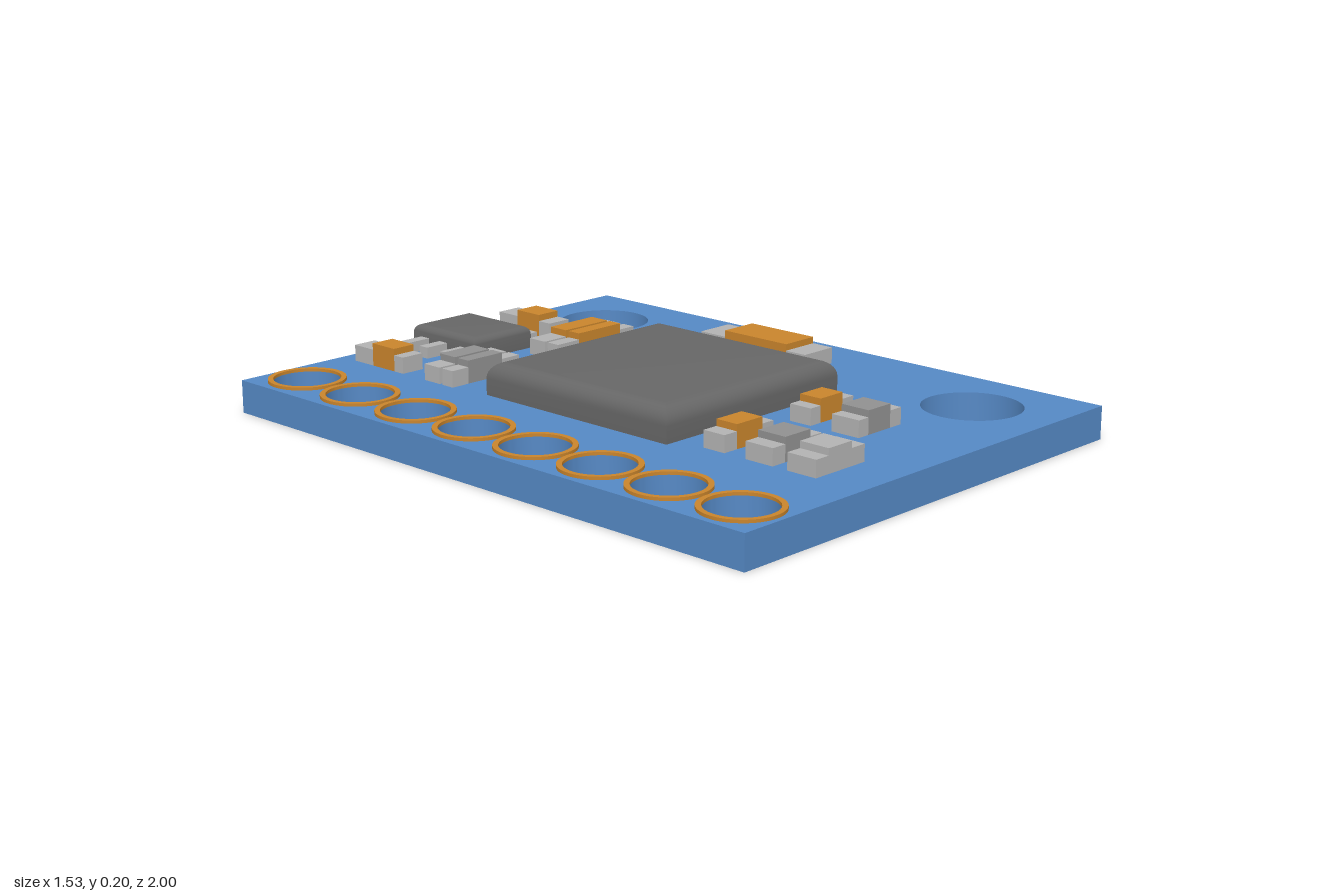
import * as THREE from 'three';
import { toCreasedNormals } from 'three/addons/utils/BufferGeometryUtils.js';

const TOP = 0.1; // upper face of the board
const material = (color) => new THREE.MeshStandardMaterial({ color });
const blue = material(0x5588c4);
const copper = material(0xc8842c);
const metal = material(0xb2b2b2);
const resistorGrey = material(0x909090);
const chipGrey = material(0x666666);

function add(parent, name, geometry, mat) {
  const mesh = new THREE.Mesh(geometry, mat);
  mesh.name = name;
  parent.add(mesh);
  return mesh;
}

// Box given by its limits
function box(parent, name, mat, x0, x1, y0, y1, z0, z1) {
  const mesh = add(parent, name, new THREE.BoxGeometry(x1 - x0, y1 - y0, z1 - z0), mat);
  mesh.position.set((x0 + x1) / 2, (y0 + y1) / 2, (z0 + z1) / 2);
}

function circlePath(x, z, r) {
  return new THREE.Path().absarc(x, -z, r, 0, Math.PI * 2, true);
}

// Flat outline in x/z extruded upwards
function slab(shape, height) {
  const g = new THREE.ExtrudeGeometry(shape, { depth: height, bevelEnabled: false, curveSegments: 32 });
  g.rotateX(-Math.PI / 2);
  return toCreasedNormals(g, 0.6);
}

// Chip package: rectangular loops drawn in along a quarter arc, giving mitred rounded top edges
function chipBody(w, h, d, r, steps = 8) {
  const loops = [[0, 0]];
  for (let i = 0; i <= steps; i++) {
    const a = (i / steps) * Math.PI / 2;
    loops.push([r * (1 - Math.cos(a)), h - r + r * Math.sin(a)]);
  }
  const positions = [];
  const index = [];
  for (const [inset, y] of loops) {
    const x = w / 2 - inset, z = d / 2 - inset;
    positions.push(-x, y, z, x, y, z, x, y, -z, -x, y, -z);
  }
  for (let l = 0; l < loops.length - 1; l++) {
    for (let k = 0; k < 4; k++) {
      const a = l * 4 + k, b = l * 4 + (k + 1) % 4;
      index.push(a, b, b + 4, a, b + 4, a + 4);
    }
  }
  const t = (loops.length - 1) * 4;
  index.push(t, t + 1, t + 2, t, t + 2, t + 3, 0, 2, 1, 0, 3, 2);
  const g = new THREE.BufferGeometry();
  g.setAttribute('position', new THREE.Float32BufferAttribute(positions, 3));
  g.setIndex(index);
  return toCreasedNormals(g, 0.4);
}

// Surface-mount part: two metal end caps and a taller middle, lying along x or z
function component(parent, name, mat, axis, ends, middle, width) {
  const group = new THREE.Group();
  group.name = name;
  const part = (label, m, a, b, height) => axis === 'x'
    ? box(group, label, m, a, b, TOP, TOP + height, width[0], width[1])
    : box(group, label, m, width[0], width[1], TOP, TOP + height, a, b);
  part('endCap', metal, ends[0], middle[0], 0.05);
  part('componentBody', mat, middle[0], middle[1], 0.07);
  part('endCap', metal, middle[1], ends[1], 0.05);
  parent.add(group);
}

export function createModel() {
  const model = new THREE.Group();
  model.name = 'circuitBoardModule';

  // Board with pin holes and two mounting holes
  const pinX = -0.63, pinRadius = 0.1;
  const pinZ = Array.from({ length: 8 }, (_, i) => -0.86 + i * 0.247);
  const outline = new THREE.Shape();
  outline.moveTo(-0.765, -1).lineTo(0.765, -1).lineTo(0.765, 1).lineTo(-0.765, 1).closePath();
  for (const z of pinZ) outline.holes.push(circlePath(pinX, z, pinRadius));
  outline.holes.push(circlePath(0.505, -0.75, 0.143), circlePath(0.505, 0.735, 0.148));
  add(model, 'board', slab(outline, TOP), blue);

  // Copper rings round the pin holes
  const ring = new THREE.Shape().absarc(0, 0, 0.116, 0, Math.PI * 2, false);
  ring.holes.push(circlePath(0, 0, pinRadius));
  const ringGeometry = slab(ring, 0.009);
  for (const z of pinZ) add(model, 'pinRing', ringGeometry, copper).position.set(pinX, TOP, z);

  // Main chip
  add(model, 'mainChip', chipBody(0.72, 0.1, 0.72, 0.05), chipGrey).position.set(-0.01, TOP, 0.005);

  // Small regulator with its pins
  const regulator = new THREE.Group();
  regulator.name = 'regulator';
  add(regulator, 'regulatorBody', chipBody(0.235, 0.07, 0.285, 0.025), chipGrey).position.set(-0.022, TOP, -0.808);
  for (const z of [-0.897, -0.811, -0.713]) box(regulator, 'leftPin', metal, -0.22, -0.13, TOP, 0.135, z - 0.018, z + 0.018);
  for (const z of [-0.912, -0.713]) box(regulator, 'rightPin', metal, 0.09, 0.15, TOP, 0.135, z - 0.018, z + 0.018);
  model.add(regulator);

  // Capacitors and resistors lying along z
  component(model, 'largeCapacitor', copper, 'z', [-0.285, 0.14], [-0.185, 0.065], [0.47, 0.597]);
  component(model, 'capacitor', copper, 'z', [-0.935, -0.71], [-0.85, -0.75], [-0.387, -0.31]);
  component(model, 'capacitor', copper, 'z', [-0.935, -0.70], [-0.85, -0.75], [0.21, 0.293]);

  // Two narrow rows behind the main chip
  for (const width of [[-0.61, -0.543], [-0.53, -0.485]]) {
    component(model, 'resistor', resistorGrey, 'x', [-0.387, -0.122], [-0.325, -0.19], width);
    component(model, 'capacitor', copper, 'x', [0.04, 0.37], [0.13, 0.31], width);
  }

  // Rows in front of the main chip
  for (const [name, mat, width] of [['capacitor', copper, [0.455, 0.53]], ['resistor', resistorGrey, [0.605, 0.70]]]) {
    component(model, name, mat, 'x', [-0.32, -0.122], [-0.27, -0.168], width);
    component(model, name, mat, 'x', [0.035, 0.22], [0.077, 0.172], width);
  }
  component(model, 'statusLamp', metal, 'x', [-0.32, -0.122], [-0.27, -0.175], [0.75, 0.847]);

  return model;
}
